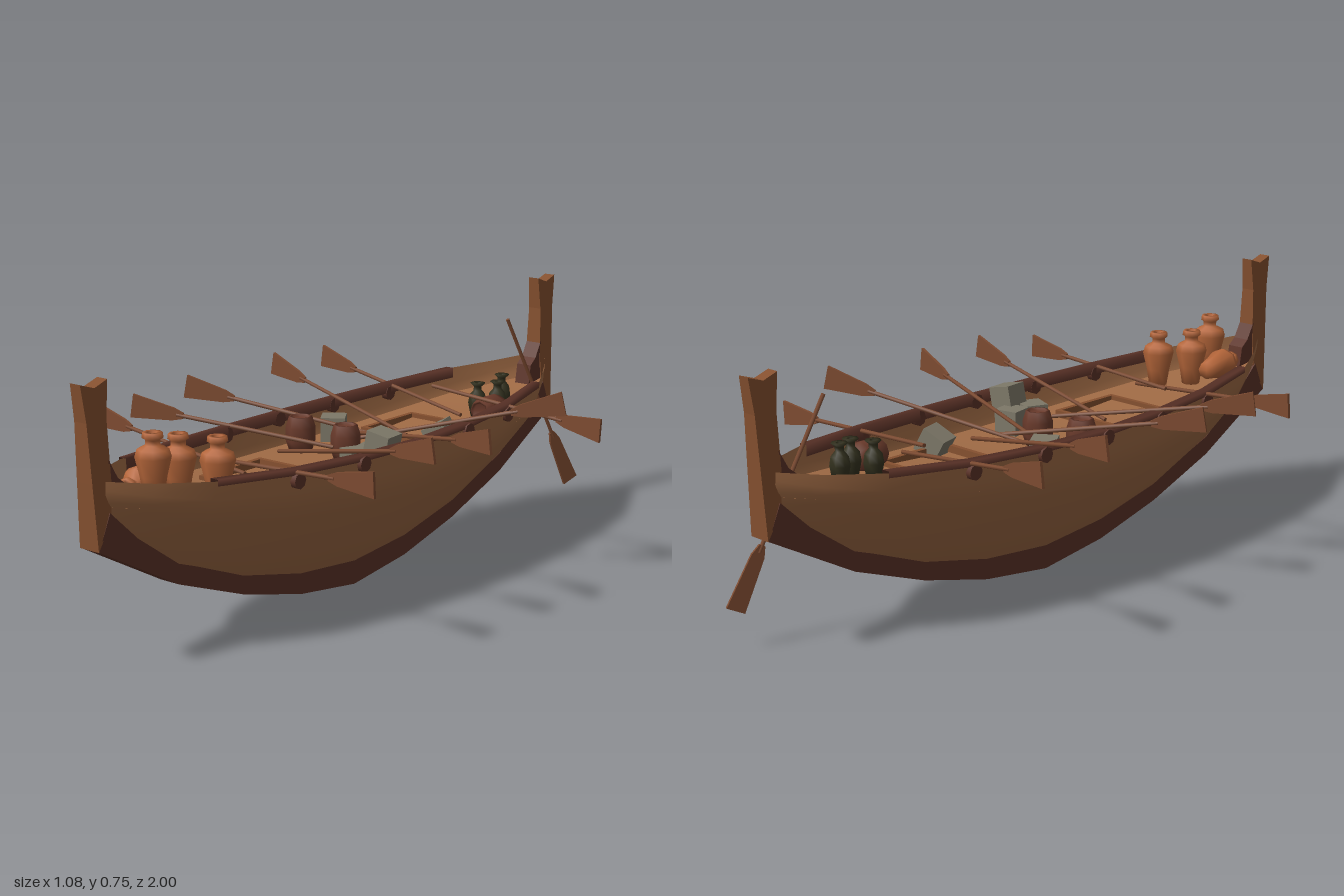
import * as THREE from 'three';

const mat = (name, color, side = THREE.FrontSide) => {
  const m = new THREE.MeshStandardMaterial({ color, side });
  m.name = name;
  return m;
};

// Half hull stations: z, rim half width, rim height, bottom height
const HALF = [
  [0, 0.26, 0.45, 0.055], [0.23, 0.25, 0.453, 0.075], [0.46, 0.223, 0.46, 0.125],
  [0.7, 0.168, 0.473, 0.215], [0.84, 0.095, 0.485, 0.31], [0.94, 0.03, 0.5, 0.38],
];
const STATIONS = [...HALF.slice(1).reverse().map(([z, ...r]) => [-z, ...r]), ...HALF];
// Section from keel to rim, as fractions of half width and height
const SECTION = [[0.08, 0], [0.42, 0.27], [0.77, 0.55], [0.9, 0.69], [0.965, 0.81], [1, 1]];

function halfWidthAt([, w, top, bottom], y) {
  const v = (y - bottom) / (top - bottom);
  for (let i = 1; i < SECTION.length; i++) {
    const [u0, v0] = SECTION[i - 1], [u1, v1] = SECTION[i];
    if (v <= v1) return w * (u0 + ((u1 - u0) * Math.max(0, v - v0)) / (v1 - v0));
  }
  return w;
}

// Skin a list of equal-length rows of points
function loft(rows) {
  const n = rows[0].length, index = [];
  for (let i = 0; i < rows.length - 1; i++)
    for (let j = 0; j < n - 1; j++) {
      const a = i * n + j;
      index.push(a, a + n, a + 1, a + 1, a + n, a + n + 1);
    }
  const g = new THREE.BufferGeometry();
  g.setAttribute('position', new THREE.Float32BufferAttribute(rows.flat(2), 3));
  g.setIndex(index);
  g.computeVertexNormals();
  return g;
}

// Plate drawn as (z, y) points with a thickness along x
function plate(points, thick) {
  const shape = new THREE.Shape(points.map(([z, y]) => new THREE.Vector2(z, y)));
  return new THREE.ExtrudeGeometry(shape, { depth: thick, bevelEnabled: false })
    .rotateY(-Math.PI / 2).translate(thick / 2, 0, 0);
}

const deckY = (z) => 0.355 + 0.09 * z * z;

export function createModel() {
  const boat = new THREE.Group();
  boat.name = 'rowingBoat';
  const plank = mat('plank wood', 0xa06b45, THREE.DoubleSide);
  const stemWood = mat('stem wood', 0x85502f);
  const dark = mat('dark wood', 0x5c3328);
  const oarWood = mat('oar wood', 0x7c4a30);
  const clay = mat('clay', 0xb5663a, THREE.DoubleSide);
  const barrelWood = mat('barrel wood', 0x68392a);
  const stone = mat('grey crate', 0x7d7868);
  const glass = mat('dark glaze', 0x34321f, THREE.DoubleSide);

  const add = (name, geo, m, parent = boat) => {
    const mesh = new THREE.Mesh(geo, m);
    mesh.name = name;
    parent.add(mesh);
    return mesh;
  };

  // Hull shell and deck
  add('hull', loft(STATIONS.map(([z, w, top, bottom]) => {
    const side = SECTION.map(([u, v]) => [u * w, bottom + v * (top - bottom), z]);
    return [...side.slice().reverse().map(([x, y]) => [-x, y, z]), ...side];
  })), plank);
  add('deck', loft(STATIONS.map((s) => {
    const y = deckY(s[0]), w = halfWidthAt(s, y);
    return [[-w, y, s[0]], [w, y, s[0]]];
  })), plank);

  // Inner rails along the rim
  for (const s of [-1, 1])
    add('rail', loft(STATIONS.filter(([z]) => Math.abs(z) < 0.75).map(([z, w, top]) => [
      [s * (w + 0.003), top - 0.012, z], [s * (w + 0.003), top + 0.005, z],
      [s * (w - 0.022), top + 0.005, z], [s * (w - 0.022), top - 0.025, z],
    ])), railMaterial(dark));

  // Keel
  const low = [[0, 0], [0.23, 0.03], [0.46, 0.09], [0.7, 0.18], [0.97, 0.33]];
  const high = [[0.93, 0.42], [0.84, 0.335], [0.7, 0.235], [0.46, 0.148], [0.23, 0.097], [0, 0.072]];
  const mirror = (pts) => pts.slice().reverse().map(([z, y]) => [-z, y]);
  add('keel', plate([...mirror(low), ...low.slice(1), ...high, ...mirror(high).slice(1)], 0.064), dark);

  // Tall tapering stem and stern posts with inner knees
  for (const turn of [0, Math.PI]) {
    const end = new THREE.Group();
    end.name = turn ? 'sternPost' : 'stemPost';
    end.rotation.y = turn;
    boat.add(end);
    const post = plate([[0.972, 0.33], [0.98, 0.5], [0.987, 0.65], [1, 0.745], [0.955, 0.73],
      [0.912, 0.745], [0.922, 0.65], [0.918, 0.5], [0.925, 0.4]], 0.066);
    const p = post.attributes.position;
    for (let i = 0; i < p.count; i++)
      p.setX(i, p.getX(i) * (1 - 0.48 * Math.max(0, (p.getY(i) - 0.33) / 0.415)));
    post.computeVertexNormals();
    add('post', post, stemWood, end);
    add('knee', plate([[0.86, 0.42], [0.925, 0.4], [0.923, 0.55], [0.895, 0.5], [0.87, 0.48]], 0.05), dark, end);
  }

  // Oars: inner end, blade tip
  function oar(name, from, to, blade, wide) {
    const a = new THREE.Vector3(...from), b = new THREE.Vector3(...to), g = new THREE.Group();
    const len = a.distanceTo(b);
    g.name = name;
    g.position.copy(a);
    g.lookAt(b);
    boat.add(g);
    add('shaft', new THREE.CylinderGeometry(0.006, 0.006, len - blade + 0.02, 6)
      .rotateX(Math.PI / 2).translate(0, 0, (len - blade + 0.02) / 2), oarWood, g);
    add('blade', plate([[len - blade, -0.008], [len - blade + 0.03, -0.018], [len, -wide],
      [len, wide], [len - blade + 0.03, 0.018], [len - blade, 0.008]], 0.008), oarWood, g);
  }
  const OARS = [ // inner x, inner z, tip x, tip y, tip z
    [0.08, -0.43, -0.507, 0.5, -0.507], [0.07, -0.185, -0.507, 0.515, -0.274],
    [0.03, -0.115, -0.507, 0.51, 0.105], [0.03, 0.09, -0.485, 0.5, 0.343],
    [0.06, 0.48, -0.533, 0.485, 0.433], [-0.06, -0.48, 0.54, 0.435, -0.454],
    [-0.04, -0.095, 0.49, 0.525, -0.343], [-0.03, -0.075, 0.52, 0.5, 0.047],
    [-0.08, 0.19, 0.485, 0.51, 0.243], [-0.075, 0.455, 0.48, 0.47, 0.475],
  ];
  for (const [ix, iz, tx, ty, tz] of OARS)
    oar('oar', [ix, 0.455 - (ty - 0.455) * 0.9, iz], [tx, ty, tz], 0.15, 0.034);
  oar('steeringOar', [0.028, 0.645, -0.735], [0.115, 0.11, -0.97], 0.18, 0.026);

  // Oar ports on both rims
  for (const s of [-1, 1])
    for (const z of [-0.46, -0.23, 0, 0.23, 0.46]) {
      const w = 0.26 - 0.17 * z * z;
      add('oarPort', new THREE.CylinderGeometry(0.022, 0.022, 0.03, 8).rotateZ(Math.PI / 2)
        .translate(s * (w - 0.008), 0.434, z), dark);
    }

  // Hatch frames on the deck
  for (const zc of [-0.345, 0.335]) {
    const y = deckY(zc) + 0.01;
    for (const s of [-1, 1]) {
      add('hatchSide', new THREE.BoxGeometry(0.014, 0.02, 0.24).translate(0.005 + s * 0.125, y, zc), stemWood);
      add('hatchEnd', new THREE.BoxGeometry(0.25, 0.02, 0.014).translate(0.005, y, zc + s * 0.113), stemWood);
    }
  }

  // Turned vessels standing on the deck
  const lathe = (pts, n) => new THREE.LatheGeometry(pts.map(([r, y]) => new THREE.Vector2(r, y)), n);
  const jarGeo = lathe([[0, 0], [0.026, 0], [0.034, 0.05], [0.046, 0.1], [0.04, 0.12], [0.019, 0.13],
    [0.019, 0.143], [0.027, 0.148], [0.025, 0.162], [0.014, 0.162], [0.012, 0.13]], 8);
  const jars = [[0.085, 0.607, 0.395], [0.01, 0.67, 0.402], [0.026, 0.775, 0.428]];
  for (const [x, z, y] of jars) add('clayJar', jarGeo, clay).position.set(x, y, z);
  const fallen = add('fallenJar', jarGeo, clay);
  fallen.position.set(-0.05, 0.45, 0.67);
  fallen.rotation.set(Math.PI / 2, 0, -0.2);

  const bottleGeo = lathe([[0, 0], [0.02, 0], [0.028, 0.04], [0.024, 0.065], [0.012, 0.078],
    [0.012, 0.09], [0.023, 0.1], [0.01, 0.1]], 7);
  for (const [x, z] of [[0.063, -0.66], [0.09, -0.6], [0.047, -0.56]])
    add('darkBottle', bottleGeo, glass).position.set(x, deckY(z), z);

  const barrelGeo = lathe([[0, 0], [0.032, 0], [0.042, 0.03], [0.042, 0.07], [0.033, 0.1], [0.027, 0.1],
    [0.025, 0.09], [0, 0.09]], 8);
  add('barrel', barrelGeo, barrelWood).position.set(-0.15, 0.36, 0.016);
  add('barrel', barrelGeo, barrelWood).position.set(0, 0.356, 0);
  const lying = add('lyingBarrel', barrelGeo, barrelWood);
  lying.position.set(0.115, 0.42, -0.575);
  lying.rotation.x = Math.PI / 2;

  // Grey crates: x, y, z, turn, tilt
  for (const [x, y, z, turn, tilt] of [[-0.148, 0.4, -0.127, 0.6, 0], [0.127, 0.395, -0.27, 0.3, 0.5],
    [0.13, 0.395, 0.03, 0.2, 0], [0.185, 0.445, 0.07, 0.1, -0.2], [0.13, 0.395, 0.11, -0.4, 0]]) {
    const crate = add('crate', new THREE.BoxGeometry(0.07, 0.07, 0.07), stone);
    crate.position.set(x, y, z);
    crate.rotation.set(0, turn, tilt);
  }
  return boat;
}

// Rails are open strips, so they show from both sides
function railMaterial(m) {
  m.side = THREE.DoubleSide;
  return m;
}
